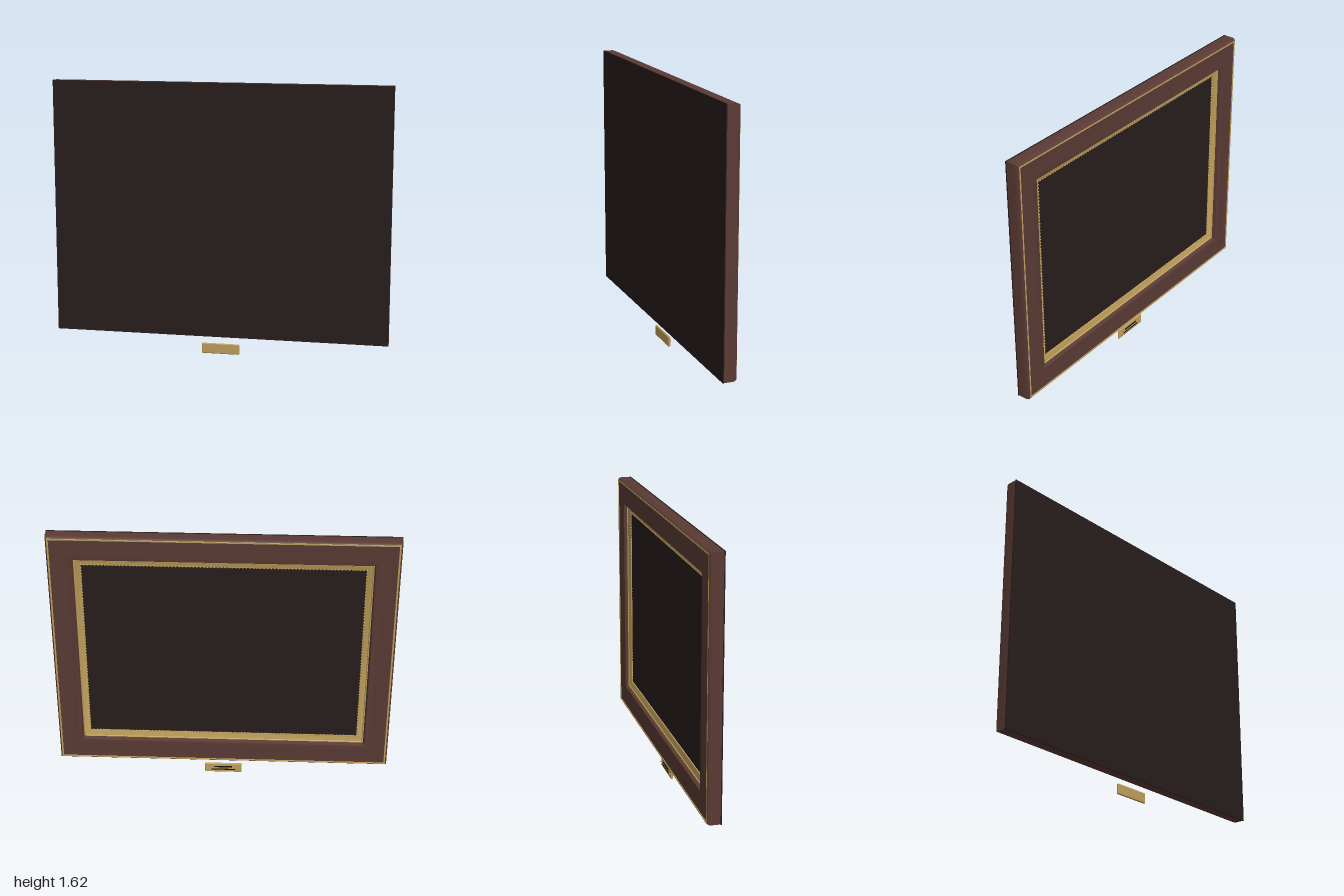
import * as THREE from 'three';
import { mergeGeometries, toCreasedNormals } from 'three/addons/utils/BufferGeometryUtils.js';
import { RoundedBoxGeometry } from 'three/addons/geometries/RoundedBoxGeometry.js';

const W = 1;          // half width of the frame
const H = 0.7565;     // half height of the frame
const CY = 0.8685;    // height of the frame centre
const CORNERS = [[-1, -1], [1, -1], [1, 1], [-1, 1]];

// Point at a given inset from the outer edge, on the mitre of one corner
const mitre = ([sx, sy], [d, z]) => [sx * (W - d), CY + sy * (H - d), z];

// Mitred rectangular moulding: profile points are [inset from the outer edge, z]
function moulding(profile) {
  const pos = [];
  for (let i = 0; i < 4; i++) {
    const c0 = CORNERS[i], c1 = CORNERS[(i + 1) % 4];
    for (let j = 0; j < profile.length - 1; j++) {
      const a = mitre(c0, profile[j]), b = mitre(c1, profile[j]);
      const c = mitre(c1, profile[j + 1]), d = mitre(c0, profile[j + 1]);
      pos.push(...a, ...c, ...b, ...a, ...d, ...c);
    }
  }
  const geo = new THREE.BufferGeometry();
  geo.setAttribute('position', new THREE.Float32BufferAttribute(pos, 3));
  geo.computeVertexNormals();
  return toCreasedNormals(geo, 0.5);
}

// Row of small beads running round the frame
function beadRow(inset, z, radius, spacing) {
  const beads = [];
  for (let i = 0; i < 4; i++) {
    const from = new THREE.Vector3(...mitre(CORNERS[i], [inset, z]));
    const to = new THREE.Vector3(...mitre(CORNERS[(i + 1) % 4], [inset, z]));
    const count = Math.round(from.distanceTo(to) / spacing);
    for (let k = 0; k < count; k++) {
      const p = from.clone().lerp(to, k / count);
      beads.push(new THREE.SphereGeometry(radius, 8, 6).translate(p.x, p.y, p.z));
    }
  }
  return mergeGeometries(beads);
}

export function createModel() {
  const model = new THREE.Group();
  const material = (name, color, side = THREE.FrontSide) => {
    const m = new THREE.MeshStandardMaterial({ color, side });
    m.name = name;
    return m;
  };
  const wood = material('dark reddish wood', 0x5a3a34, THREE.DoubleSide);
  const gold = material('antique gold', 0xbf9f5b, THREE.DoubleSide);
  const dark = material('dark backing', 0x271d1c);
  const black = material('black engraving', 0x15100e);

  const add = (name, geo, mat, x = 0, y = 0, z = 0, parent = model) => {
    const mesh = new THREE.Mesh(geo, mat);
    mesh.name = name;
    mesh.position.set(x, y, z);
    parent.add(mesh);
    return mesh;
  };

  // Wooden frame: rounded outer edge, broad face, step down to the opening
  add('frameOuterEdge', moulding([
    [0.002, 0.038], [0.002, -0.02], [0.004, -0.029], [0.008, -0.037], [0.012, -0.041],
  ]), wood);
  add('outerGoldLine', moulding([[0.012, -0.041], [0.013, -0.042], [0.021, -0.042], [0.022, -0.039]]), gold);
  add('frameFace', moulding([
    [0.022, -0.039], [0.05, -0.037], [0.11, -0.037], [0.14, -0.039], [0.145, -0.037], [0.151, -0.016],
  ]), wood);

  // Gold inner lip: small bead, shallow slope, beaded inner edge
  add('innerGoldLip', moulding([
    [0.151, -0.016], [0.153, -0.02], [0.157, -0.02], [0.16, -0.015], [0.18, -0.008], [0.191, -0.004], [0.192, 0.002],
  ]), gold);
  add('innerGoldBeads', beadRow(0.191, -0.003, 0.005, 0.02), gold);

  // Panel seen through the opening, and the board that closes the other side
  add('innerPanel', new THREE.BoxGeometry(2 * (W - 0.17), 2 * (H - 0.17), 0.036), dark, 0, CY, 0.018);
  add('backingBoard', new THREE.BoxGeometry(2 * W, 2 * H, 0.006), dark, 0, CY, 0.039);

  // Small plaque below the frame
  const plaque = new THREE.Group();
  plaque.name = 'plaque';
  plaque.position.set(0, 0.0315, 0.0105);
  model.add(plaque);
  add('plaquePlate', new RoundedBoxGeometry(0.228, 0.063, 0.013, 3, 0.006), gold, 0, 0, 0, plaque);
  add('upperEngravedBar', new THREE.BoxGeometry(0.11, 0.009, 0.003), black, 0, 0.009, -0.007, plaque);
  add('lowerEngravedBar', new THREE.BoxGeometry(0.145, 0.007, 0.003), black, 0, -0.01, -0.007, plaque);
  for (const side of [-1, 1]) {
    const screw = add('plaqueScrew', new THREE.CylinderGeometry(0.005, 0.006, 0.01, 12), gold, side * 0.097, 0, -0.009, plaque);
    screw.rotation.x = -Math.PI / 2;
  }
  return model;
}
